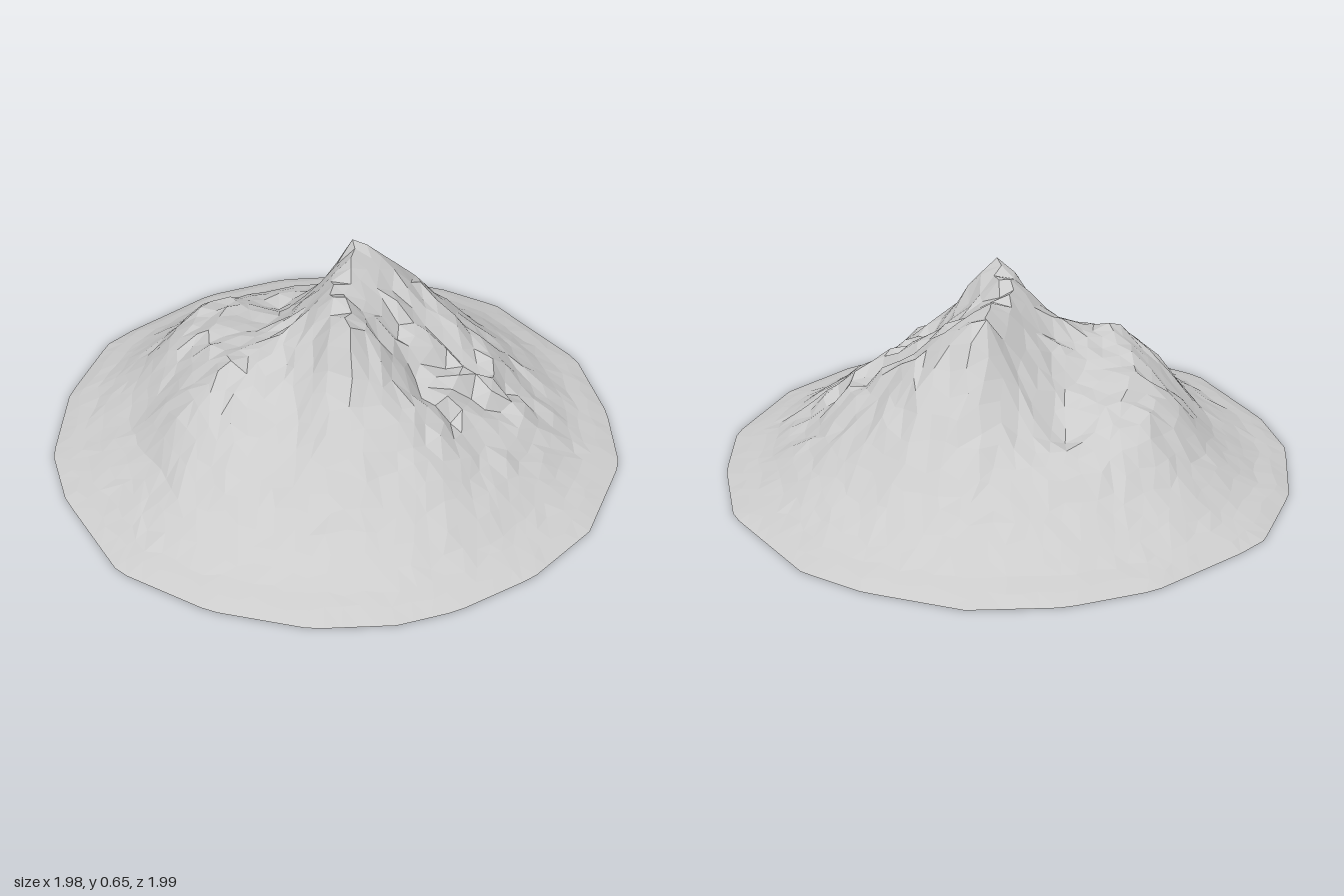
import * as THREE from 'three';

const RINGS = 18;
const RADII = [0, 0.14, 0.28, 0.42, 0.56, 0.7, 0.85, 1];
const SUMMIT = 0.63;

// Heights (in hundredths) at RADII[1..6], one spoke per 22.5 degrees from +x towards +z
const SPOKES = [
  [56, 43, 34, 26, 15, 4.5], // east gully
  [64, 58, 44, 32, 19, 5], // east ridge
  [65, 68, 47, 32, 16, 5], // main peak
  [62, 48, 37, 25, 14, 4.5], // front cliff
  [54, 44, 37, 28, 17, 5],
  [52, 45, 44, 33, 13, 4], // front shoulder
  [47, 42, 40, 26, 12, 4],
  [47, 38, 38, 32, 16, 5], // terrace
  [48, 36, 35, 33, 17, 5.5],
  [52, 36, 27, 26, 14, 4.5], // hollow
  [58, 46, 34, 25, 14, 4.5],
  [64.5, 65, 46, 30, 16, 5], // back peak
  [62, 58, 46, 30, 15, 5],
  [60, 51, 43, 28, 15, 4.5],
  [57, 45, 36, 26, 14, 4], // rocky slope
  [56, 43, 34, 26, 14.5, 4.5],
];

// Uneven foot of the mountain, clockwise from above
const FOOT = [
  [0.99, -0.12], [0.97, 0.18], [0.87, 0.46], [0.76, 0.63], [0.56, 0.81],
  [0.26, 0.95], [-0.09, 1], [-0.48, 0.85], [-0.68, 0.71], [-0.88, 0.43],
  [-0.99, 0.12], [-0.98, 0], [-0.91, -0.36], [-0.76, -0.62], [-0.54, -0.83],
  [-0.23, -0.96], [0, -1], [0.43, -0.9], [0.69, -0.7], [0.88, -0.48],
];

function seeded(seed) {
  return () => {
    seed = (seed * 16807) % 2147483647;
    return seed / 2147483647 * 2 - 1;
  };
}

function spokeHeight(spoke, i) {
  if (i === 0) return SUMMIT;
  return i >= RADII.length - 1 ? 0 : SPOKES[spoke % 16][i - 1] / 100;
}

// Height of the slope at a point, blended between neighbouring spokes
function heightAt(x, z) {
  const r = Math.min(Math.hypot(x, z), 0.9999);
  const turn = ((Math.atan2(z, x) / (2 * Math.PI) + 1) % 1) * 16;
  const s = Math.floor(turn);
  const i = RADII.findIndex((v) => v > r) - 1;
  const t = (r - RADII[i]) / (RADII[i + 1] - RADII[i]);
  const along = (n) => THREE.MathUtils.lerp(spokeHeight(n, i), spokeHeight(n, i + 1), t);
  return THREE.MathUtils.lerp(along(s), along(s + 1), turn - s);
}

// Extra roughness on the broken rock of the back right slope
function rockiness(x, z) {
  const d = Math.hypot((x - 0.38) / 0.36, (z + 0.22) / 0.42);
  return THREE.MathUtils.clamp(1.6 - 1.5 * d, 0, 1);
}

function mountainGeometry() {
  const rand = seeded(4217);
  const outline = new THREE.Shape(FOOT.map(([x, z]) => new THREE.Vector2(x, z)));
  outline.closePath();
  const positions = [0, SUMMIT, 0];
  const start = [0];

  // Rings of 6, 12, 18... points keep the triangles even in size
  for (let k = 1; k <= RINGS; k++) {
    start.push(positions.length / 3);
    for (let i = 0; i < 6 * k; i++) {
      const p = outline.getPointAt(i / (6 * k)).multiplyScalar(k / RINGS);
      if (k === RINGS) {
        positions.push(p.x, 0, p.y);
        continue;
      }
      const x = p.x + rand() * 0.014;
      const z = p.y + rand() * 0.014;
      const y = heightAt(x, z);
      const bump = rand() * (0.012 * Math.min(1, y * 3) + 0.022 * rockiness(x, z));
      positions.push(x, Math.min(0.68, Math.max(0.004, y + bump)), z);
    }
  }

  // Stitch each ring to the one inside it, in six sectors
  const index = [];
  const at = (k, i) => (k === 0 ? 0 : start[k] + (i % (6 * k)));
  for (let k = 1; k <= RINGS; k++) {
    for (let s = 0; s < 6; s++) {
      for (let j = 0; j < k; j++) {
        const outer = s * k + j;
        const inner = s * (k - 1) + j;
        index.push(at(k - 1, inner), at(k, outer + 1), at(k, outer));
        if (j < k - 1) index.push(at(k - 1, inner), at(k - 1, inner + 1), at(k, outer + 1));
      }
    }
  }

  const geometry = new THREE.BufferGeometry();
  geometry.setAttribute('position', new THREE.Float32BufferAttribute(positions, 3));
  geometry.setIndex(index);
  geometry.computeVertexNormals();
  return geometry;
}

export function createModel() {
  const group = new THREE.Group();
  group.name = 'mountain';
  // Hollow shell, open underneath
  const material = new THREE.MeshStandardMaterial({
    color: 0xcccccc,
    flatShading: true,
    side: THREE.DoubleSide,
  });
  const slopes = new THREE.Mesh(mountainGeometry(), material);
  slopes.name = 'slopes';
  group.add(slopes);
  return group;
}
